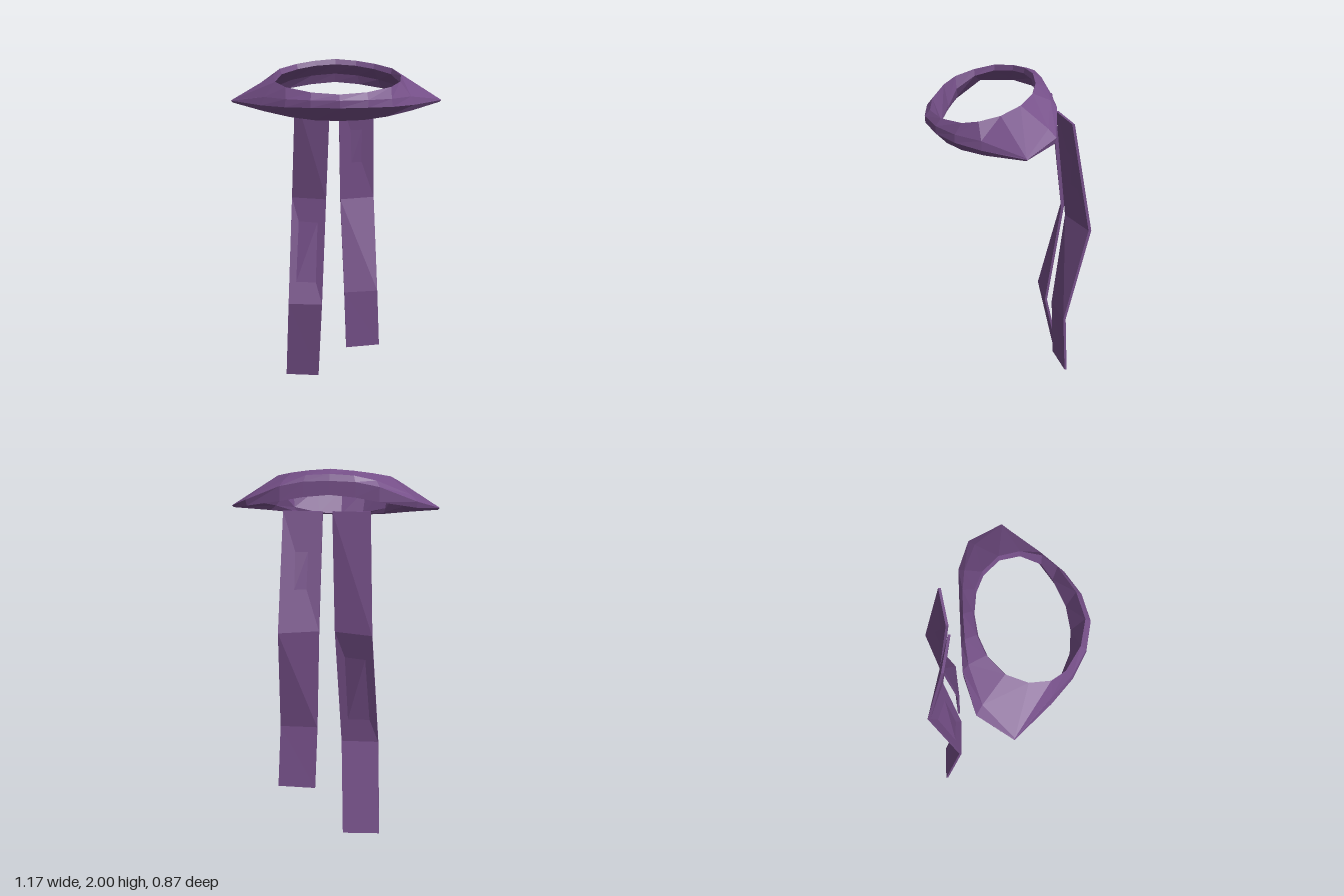
import * as THREE from 'three';

const purple = new THREE.MeshStandardMaterial({ color: 0x754f88, flatShading: true, side: THREE.DoubleSide });
purple.name = 'purple cloth';

// Skins a row of cross-sections; either joined into a ring or capped at both ends
function loft(name, sections, ring) {
  const pos = [];
  const quad = (a, b, c, d) => pos.push(...a, ...b, ...c, ...a, ...c, ...d);
  const n = sections.length, m = sections[0].length;
  for (let i = 0; i < (ring ? n : n - 1); i++) {
    const s = sections[i], t = sections[(i + 1) % n];
    for (let j = 0; j < m; j++) {
      const k = (j + 1) % m;
      quad(s[j], t[j], t[k], s[k]);
    }
  }
  if (!ring) {
    const [a, b, c, d] = sections[0], [e, f, g, h] = sections[n - 1];
    quad(a, b, c, d);
    quad(h, g, f, e);
  }
  const geo = new THREE.BufferGeometry();
  geo.setAttribute('position', new THREE.Float32BufferAttribute(pos, 3));
  geo.computeVertexNormals();
  const mesh = new THREE.Mesh(geo, purple);
  mesh.name = name;
  return mesh;
}

// Collar edges on the +x half, each running from the back centre to the front centre
const innerTop = [[0, 2, -0.15], [0.12, 1.99, -0.135], [0.22, 1.975, -0.095], [0.313, 1.953, -0.01], [0.35, 1.922, 0.1],
  [0.335, 1.895, 0.21], [0.28, 1.872, 0.285], [0.145, 1.85, 0.37], [0, 1.842, 0.405]];
const shoulder = [[0, 1.976, -0.197], [0.13, 1.968, -0.194], [0.25, 1.942, -0.182], [0.43, 1.865, -0.125], [0.58, 1.785, 0.022],
  [0.395, 1.815, 0.209], [0.28, 1.812, 0.322], [0.15, 1.812, 0.4], [0, 1.812, 0.434]];
const outer = [[0, 1.94, -0.213], [0.14, 1.935, -0.213], [0.27, 1.91, -0.212], [0.47, 1.83, -0.157], [0.587, 1.78, 0.02],
  [0.412, 1.77, 0.21], [0.285, 1.77, 0.326], [0.15, 1.773, 0.402], [0, 1.773, 0.432]];
const outerBottom = [[0, 1.866, -0.213], [0.14, 1.853, -0.213], [0.27, 1.83, -0.21], [0.465, 1.797, -0.15], [0.577, 1.77, 0.022],
  [0.4, 1.738, 0.195], [0.26, 1.715, 0.285], [0.13, 1.703, 0.34], [0, 1.7, 0.358]];
// Hollow underside, tucked up behind the rim at the back and sides
const hollow = [[0, 1.915, -0.197], [0.132, 1.904, -0.194], [0.25, 1.88, -0.184], [0.415, 1.832, -0.125], [0.48, 1.805, 0.043],
  [0.365, 1.765, 0.195], [0.258, 1.722, 0.275], [0.13, 1.706, 0.333], [0, 1.702, 0.35]];
const rim = [[0, 1.97, -0.142], [0.115, 1.962, -0.128], [0.213, 1.946, -0.089], [0.304, 1.922, -0.006], [0.341, 1.885, 0.1],
  [0.32, 1.825, 0.207], [0.267, 1.75, 0.265], [0.13, 1.714, 0.325], [0, 1.706, 0.34]];

function collar() {
  const edges = [innerTop, shoulder, outer, outerBottom, hollow, rim];
  const half = innerTop.map((_, i) => edges.map(e => e[i]));
  const mirrored = half.slice(1, -1).reverse().map(s => s.map(([x, y, z]) => [-x, y, z]));
  return loft('collar', [...half, ...mirrored], true);
}

// Each tail row: x, y, z of the -x edge, then of the +x edge, then thickness
function tail(name, rows) {
  return loft(name, rows.map(([xa, ya, za, xb, yb, zb, t]) => [
    [xa, ya, za], [xb, yb, zb], [xb, yb, zb - t], [xa, ya, za - t],
  ]), false);
}

export function createModel() {
  const group = new THREE.Group();
  group.name = 'tied scarf';
  group.add(collar());
  group.add(tail('longRightTail', [
    [-0.232, 1.79, -0.308, -0.025, 1.785, -0.267, 0.014],
    [-0.256, 1.15, -0.42, -0.048, 1.15, -0.343, 0.016],
    [-0.283, 0.51, -0.275, -0.077, 0.505, -0.267, 0.014],
    [-0.302, 0.01, -0.386, -0.098, 0, -0.382, 0.012],
  ]));
  group.add(tail('shortLeftTail', [
    [0.025, 1.785, -0.276, 0.232, 1.79, -0.308, 0.014],
    [0.038, 1.15, -0.343, 0.248, 1.15, -0.42, 0.016],
    [0.06, 0.58, -0.272, 0.265, 0.585, -0.288, 0.014],
    [0.073, 0.22, -0.284, 0.28, 0.23, -0.302, 0.013],
  ]));
  return group;
}
